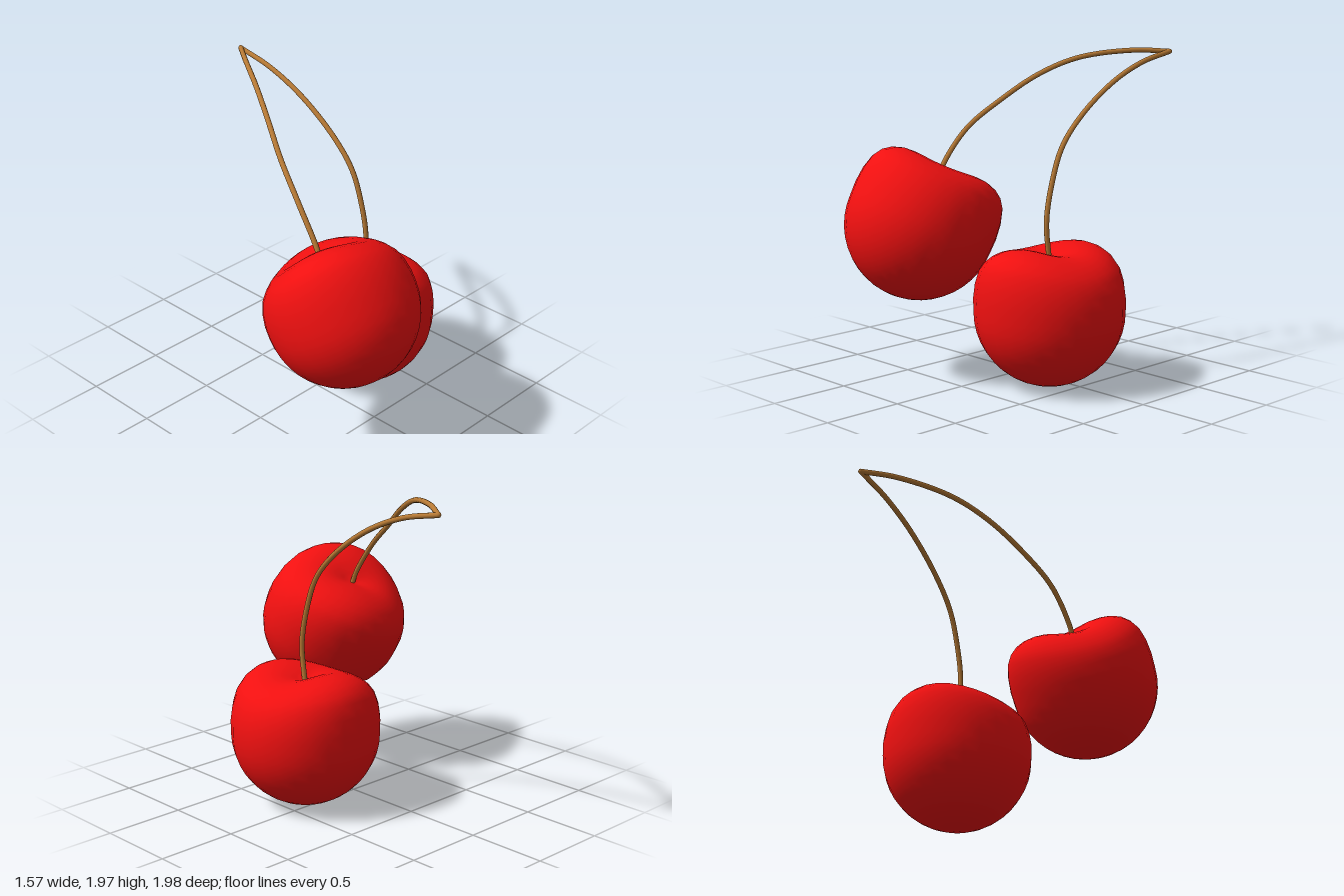
import * as THREE from 'three';
import { mergeVertices } from 'three/addons/utils/BufferGeometryUtils.js';

const red = new THREE.MeshStandardMaterial({ color: 0xf01010 });
const brown = new THREE.MeshStandardMaterial({ color: 0xb87a35 });

const spline = (pts) => new THREE.SplineCurve(pts.map(([r, y]) => new THREE.Vector2(r, y)));

// Half profiles (radius, height) from stem dimple to underside: they differ only above the middle
const R = 0.455;
const underside = [];
for (let i = 0; i <= 8; i++) {
  const a = (i / 8) * Math.PI / 2;
  underside.push([R * Math.cos(a), -R * Math.sin(a)]);
}
const lobeProfile = spline([
  [0, 0.32], [0.08, 0.36], [0.16, 0.385], [0.24, 0.39], [0.32, 0.375],
  [0.39, 0.33], [0.435, 0.255], [0.457, 0.13], ...underside]);
const grooveProfile = spline([
  [0, 0.32], [0.08, 0.34], [0.16, 0.35], [0.24, 0.34], [0.31, 0.31],
  [0.37, 0.265], [0.42, 0.2], [0.45, 0.1], ...underside]);

// Fruit: a sphere reshaped so two lobes (along z) rise beside a groove (along x)
function cherryGeometry() {
  let geo = new THREE.SphereGeometry(1, 28, 22);
  geo.deleteAttribute('uv');
  geo.deleteAttribute('normal');
  const pos = geo.attributes.position;
  for (let i = 0; i < pos.count; i++) {
    const x = pos.getX(i), y = pos.getY(i), z = pos.getZ(i);
    const t = Math.acos(THREE.MathUtils.clamp(y, -1, 1)) / Math.PI;
    const h = Math.hypot(x, z) || 1;
    const p = grooveProfile.getPoint(t).lerp(lobeProfile.getPoint(t), (z / h) ** 2);
    pos.setXYZ(i, (x / h) * p.x, p.y, (z / h) * p.x);
  }
  geo = mergeVertices(geo, 1e-5);
  geo.computeVertexNormals();
  return geo;
}

// Stem: a thin tube with rounded tip
function makeStem(name, pts) {
  const stem = new THREE.Group();
  stem.name = name;
  const path = new THREE.CatmullRomCurve3(pts.map((p) => new THREE.Vector3(...p)));
  const tube = new THREE.Mesh(new THREE.TubeGeometry(path, 48, 0.016, 10), brown);
  tube.name = name + 'Tube';
  const tip = new THREE.Mesh(new THREE.SphereGeometry(0.016, 10, 8), brown);
  tip.name = name + 'Tip';
  tip.position.set(...pts[pts.length - 1]);
  stem.add(tube, tip);
  return stem;
}

export function createModel() {
  const model = new THREE.Group();
  model.name = 'cherryPair';
  const fruit = cherryGeometry();

  // Upright cherry on the left, tilted one on the right
  const leftCherry = new THREE.Mesh(fruit, red);
  leftCherry.name = 'leftCherry';
  leftCherry.position.set(0.325, 0.457, 0.083);
  const rightCherry = new THREE.Mesh(fruit, red);
  rightCherry.name = 'rightCherry';
  rightCherry.position.set(-0.33, 0.947, 0.53);
  rightCherry.rotation.set(-0.54, -0.7, 0);

  // Stems meeting at a shared tip
  const tip = [0.325, 1.945, -0.985];
  const leftStem = makeStem('leftStem', [
    [0.325, 0.75, 0.085], [0.325, 1.0, 0.11], [0.325, 1.24, 0.06], [0.325, 1.43, -0.02],
    [0.325, 1.6, -0.18], [0.325, 1.78, -0.45], [0.325, 1.89, -0.72], tip]);
  const rightStem = makeStem('rightStem', [
    [-0.345, 1.2, 0.37], [-0.343, 1.29, 0.33], [-0.315, 1.5, 0.16], [-0.235, 1.67, -0.06],
    [-0.125, 1.82, -0.28], [0, 1.915, -0.5], [0.19, 1.955, -0.8], tip]);

  model.add(leftCherry, rightCherry, leftStem, rightStem);
  return model;
}
